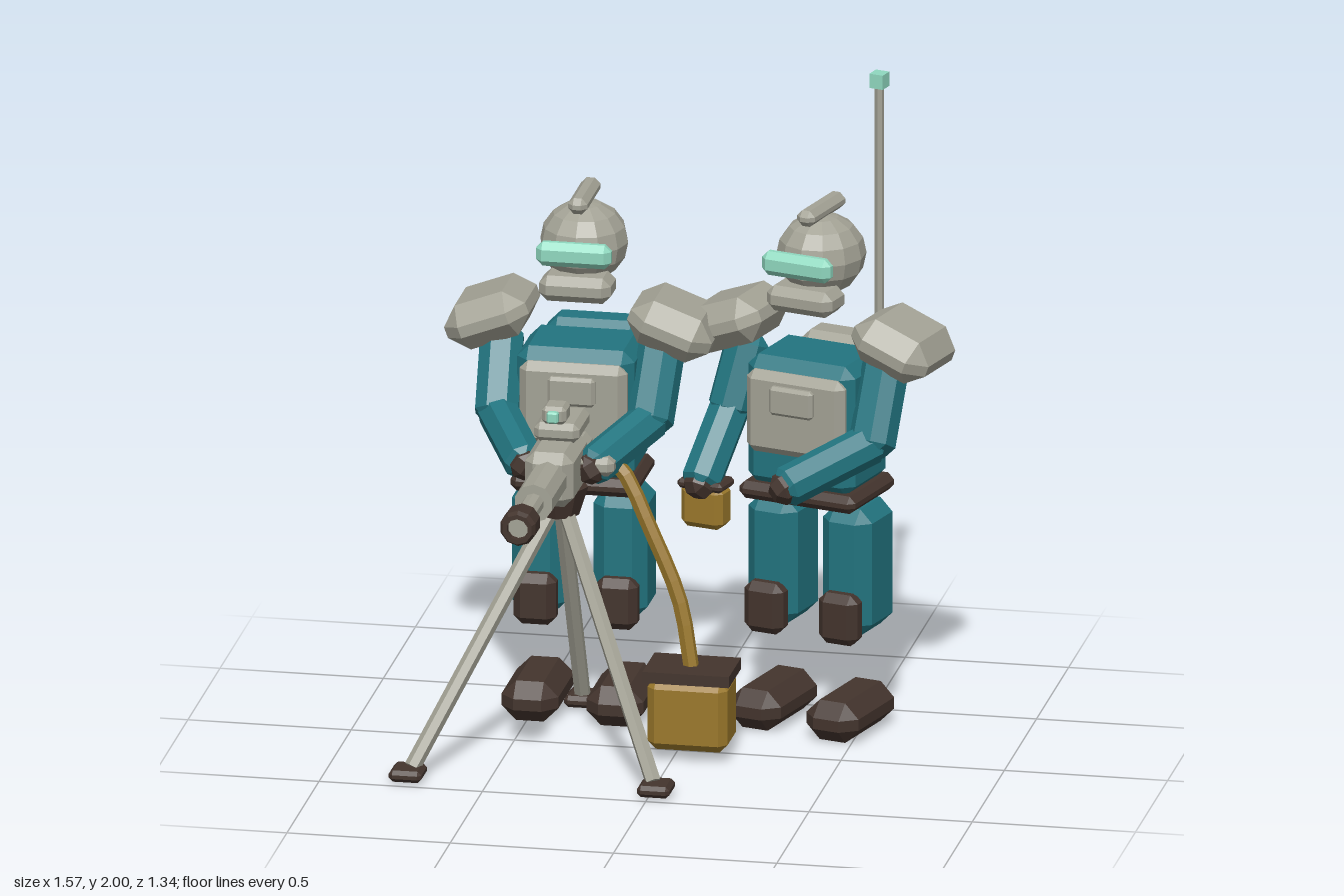
import * as THREE from 'three';
import { ConvexGeometry } from 'three/addons/geometries/ConvexGeometry.js';

const flat = (name, color) => {
  const m = new THREE.MeshStandardMaterial({ color });
  m.name = name;
  return m;
};
const V = (x, y, z) => new THREE.Vector3(x, y, z);

// Box with every edge and corner cut off by c
function chamferBox(w, h, d, c) {
  const pts = [];
  for (const sx of [-1, 1]) for (const sy of [-1, 1]) for (const sz of [-1, 1]) {
    const x = sx * w / 2, y = sy * h / 2, z = sz * d / 2;
    pts.push(V(x, y - sy * c, z - sz * c), V(x - sx * c, y, z - sz * c), V(x - sx * c, y - sy * c, z));
  }
  return new ConvexGeometry(pts);
}

export function createModel() {
  const grey = flat('armourGrey', 0xa3a295);
  const teal = flat('suitTeal', 0x22747f);
  const brown = flat('darkBrown', 0x43342d);
  const gold = flat('ammoGold', 0x9a782b);
  const mint = flat('glowMint', 0x8fd8bf);

  const model = new THREE.Group();
  model.name = 'gunCrew';

  const add = (parent, name, geo, mat, x = 0, y = 0, z = 0) => {
    const m = new THREE.Mesh(geo, mat);
    m.name = name;
    m.position.set(x, y, z);
    parent.add(m);
    return m;
  };
  const block = (parent, name, mat, size, pos, c) => add(parent, name, chamferBox(...size, c), mat, ...pos);

  // Bar between two points, from a geometry that is built along y
  const between = (parent, name, mat, a, b, make) => {
    const dir = b.clone().sub(a);
    const m = add(parent, name, make(dir.length()), mat);
    m.position.copy(a).add(b).multiplyScalar(0.5);
    m.quaternion.setFromUnitVectors(V(0, 1, 0), dir.normalize());
  };
  const facets = (geo) => {
    const g = geo.toNonIndexed();
    g.computeVertexNormals();
    return g;
  };
  const rod = (r, sides) => (len) => facets(new THREE.CylinderGeometry(r, r, len, sides));

  // Body shared by both crew members; arms are posed separately
  function body(name, x, z, turn) {
    const g = new THREE.Group();
    g.name = name;
    g.position.set(x, 0, z);
    g.rotation.y = turn;
    model.add(g);
    block(g, 'torso', teal, [0.36, 0.41, 0.27], [0, 0.965, 0], 0.035);
    block(g, 'waistBelt', brown, [0.39, 0.055, 0.3], [0, 0.745, 0], 0.02);
    block(g, 'chestPlate', grey, [0.33, 0.26, 0.06], [0, 1.005, 0.135], 0.025);
    block(g, 'chestPanel', grey, [0.145, 0.09, 0.03], [0, 1.055, 0.17], 0.01);

    // Helmet
    const helmet = add(g, 'helmet', facets(new THREE.SphereGeometry(0.14, 12, 8)), grey, 0, 1.47, -0.03);
    helmet.scale.set(0.96, 0.9, 1.02);
    block(g, 'jawGuard', grey, [0.22, 0.08, 0.13], [0, 1.36, 0.075], 0.025);
    block(g, 'visor', mint, [0.23, 0.075, 0.055], [0, 1.475, 0.13], 0.02);
    block(g, 'helmetCrest', grey, [0.06, 0.05, 0.24], [0, 1.61, -0.03], 0.018);

    for (const s of [-1, 1]) {
      const pad = block(g, 'shoulderPad', grey, [0.265, 0.145, 0.29], [s * 0.28, 1.23, -0.02], 0.055);
      pad.rotation.z = -s * 0.36;
      block(g, 'leg', teal, [0.165, 0.4, 0.215], [s * 0.125, 0.505, -0.025], 0.04);
      block(g, 'kneePad', brown, [0.13, 0.16, 0.08], [s * 0.125, 0.37, 0.09], 0.025);
      block(g, 'boot', brown, [0.175, 0.125, 0.33], [s * 0.13, 0.0625, 0.035], 0.045);
    }
    return g;
  }

  // Upper arm, forearm and glove through shoulder, elbow and hand
  function arm(name, shoulder, elbow, hand) {
    const g = new THREE.Group();
    g.name = name;
    model.add(g);
    between(g, 'upperArm', teal, shoulder, elbow, (l) => chamferBox(0.13, l + 0.08, 0.13, 0.035));
    between(g, 'forearm', teal, elbow, hand, (l) => chamferBox(0.115, l + 0.06, 0.115, 0.032));
    const reach = hand.clone().sub(elbow).normalize().multiplyScalar(0.05);
    between(g, 'glove', brown, hand.clone().sub(reach), hand.clone().add(reach),
      (l) => chamferBox(0.09, l, 0.09, 0.025));
  }

  // Gunner
  const gunner = body('gunner', -0.36, -0.345, 0);
  block(gunner, 'backpack', teal, [0.305, 0.3, 0.15], [0, 1.02, -0.22], 0.04);
  for (const s of [-1, 1]) {
    arm('gunnerArm', V(-0.36 + s * 0.245, 1.16, -0.34), V(-0.36 + s * 0.235, 0.97, -0.21),
      V(-0.36 + s * 0.105, 0.89, 0.025));
  }

  // Assistant with radio pack
  const assistant = body('assistant', 0.355, -0.36, -0.27);
  block(assistant, 'radioPack', grey, [0.305, 0.295, 0.15], [0, 1.02, -0.22], 0.04);
  add(assistant, 'antenna', rod(0.014, 6)(0.84), grey, 0.1, 1.55, -0.22);
  add(assistant, 'antennaTip', new THREE.BoxGeometry(0.045, 0.045, 0.045), mint, 0.1, 1.9775, -0.22);
  arm('assistantRightArm', V(0.13, 1.16, -0.42), V(0.09, 0.98, -0.37), V(0.03, 0.785, -0.21));
  arm('assistantLeftArm', V(0.58, 1.16, -0.29), V(0.56, 0.95, -0.18), V(0.335, 0.858, 0.01));

  // Spare ammunition can in the assistant's hand
  const can = new THREE.Group();
  can.name = 'carriedCan';
  can.position.set(0.04, 0, -0.235);
  can.rotation.y = -0.27;
  model.add(can);
  block(can, 'canBody', gold, [0.14, 0.135, 0.09], [0, 0.705, 0], 0.02);
  block(can, 'canLid', brown, [0.15, 0.03, 0.1], [0, 0.775, 0], 0.01);
  block(can, 'canHandle', gold, [0.1, 0.035, 0.04], [0, 0.805, 0], 0.01);

  // Heavy gun, pointing forward
  const gun = new THREE.Group();
  gun.name = 'heavyGun';
  gun.position.x = -0.36;
  model.add(gun);
  block(gun, 'receiver', grey, [0.15, 0.17, 0.27], [0, 0.89, 0.065], 0.03);
  block(gun, 'receiverRear', grey, [0.13, 0.115, 0.16], [0, 0.875, -0.11], 0.02);
  block(gun, 'topCover', grey, [0.14, 0.06, 0.19], [0, 1.0, -0.025], 0.018);
  block(gun, 'sight', grey, [0.075, 0.055, 0.085], [0, 1.068, 0.065], 0.012);
  block(gun, 'sightLens', mint, [0.035, 0.035, 0.025], [0, 1.068, 0.115], 0.005);
  block(gun, 'feedTray', grey, [0.11, 0.06, 0.21], [0.12, 0.9, -0.035], 0.018);
  const tube = (name, mat, r, z0, z1) =>
    between(gun, name, mat, V(0, 0.893, z0), V(0, 0.893, z1), rod(r, 10));
  tube('barrelJacket', grey, 0.06, 0.18, 0.415);
  tube('barrel', grey, 0.032, 0.4, 0.65);

  // Hollow muzzle brake
  const muzzle = new THREE.LatheGeometry(
    [[0.032, -0.045], [0.045, -0.05], [0.056, -0.035], [0.056, 0.035], [0.047, 0.05], [0.033, 0.05], [0.033, -0.045]]
      .map(([r, y]) => new THREE.Vector2(r, y)), 10);
  const brake = add(gun, 'muzzleBrake', facets(muzzle), brown, 0, 0.893, 0.62);
  brake.rotation.x = Math.PI / 2;

  // Tripod
  add(gun, 'pivotMount', facets(new THREE.CylinderGeometry(0.088, 0.06, 0.09, 8)), brown, 0, 0.775, 0.01);
  for (const [x, z] of [[-0.38, 0.44], [0.38, 0.44], [0, -0.36]]) {
    between(gun, 'tripodLeg', grey, V(x * 0.04, 0.76, z * 0.04), V(x * 0.97, 0.04, z * 0.97), rod(0.025, 6));
    block(gun, 'tripodFoot', brown, [0.1, 0.036, 0.11], [x, 0.026, z], 0.012);
  }

  // Ammunition box and feed belt
  block(model, 'ammoBox', gold, [0.245, 0.22, 0.18], [0.05, 0.145, 0.037], 0.025);
  add(model, 'ammoBoxLid', new THREE.BoxGeometry(0.265, 0.035, 0.19), brown, 0.05, 0.268, 0.037);
  const path = new THREE.CatmullRomCurve3([
    V(-0.21, 0.905, -0.03), V(-0.16, 0.85, -0.02), V(-0.09, 0.71, 0), V(0.01, 0.48, 0.02), V(0.05, 0.27, 0.037)]);
  add(model, 'ammoBelt', facets(new THREE.TubeGeometry(path, 10, 0.024, 6)), gold);

  return model;
}
